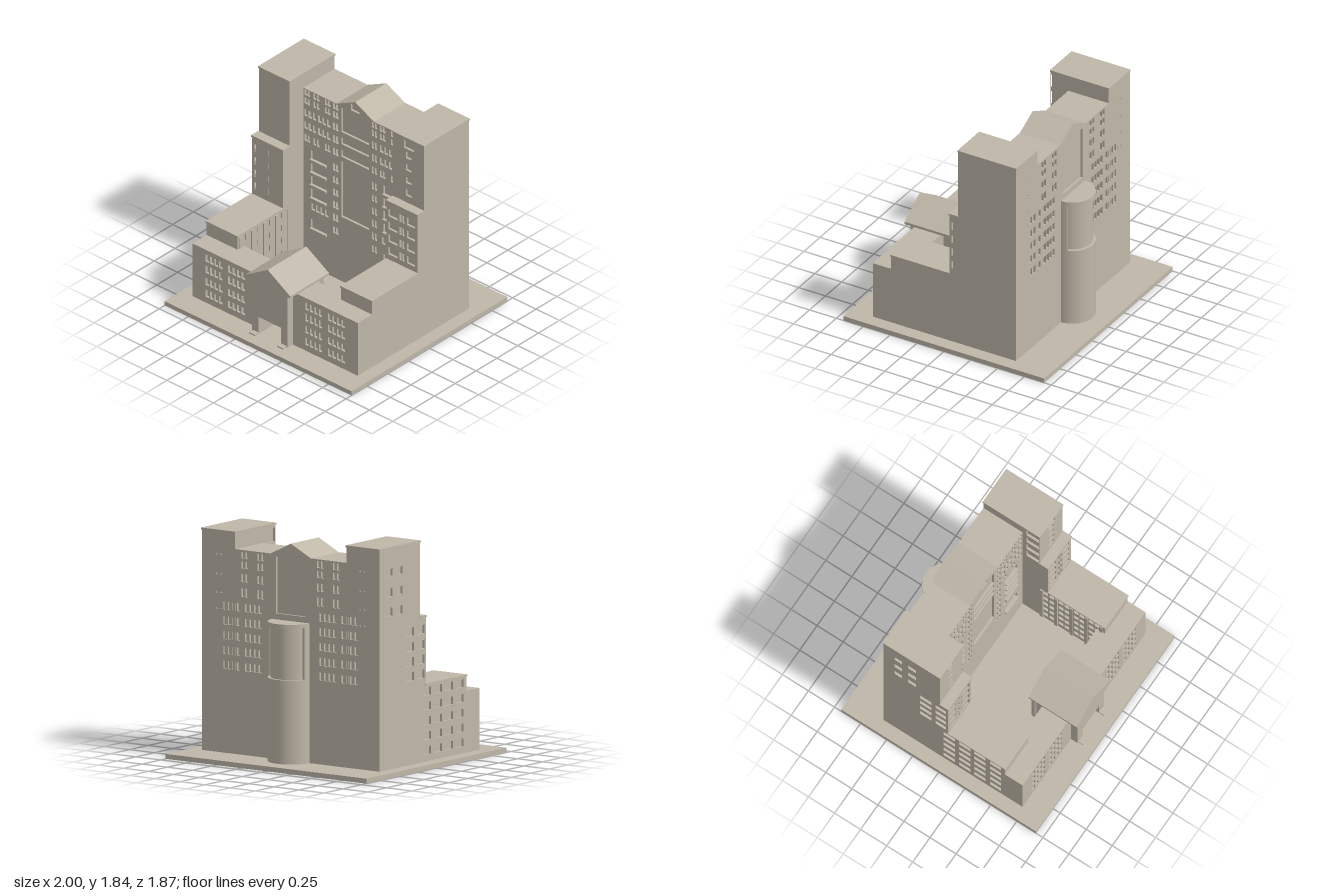
import * as THREE from 'three';

export function createModel() {
  const model = new THREE.Group();
  const stone = new THREE.MeshStandardMaterial({ color: 0xbfb7a8 });
  stone.name = 'stone';
  const D = 0.02; // window recess depth

  const add = (name, geo, x = 0, y = 0, z = 0, ry = 0) => {
    const mesh = new THREE.Mesh(geo, stone);
    mesh.name = name;
    mesh.position.set(x, y, z);
    mesh.rotation.y = ry;
    model.add(mesh);
    return mesh;
  };
  // box from min / max corners
  const block = (name, x0, x1, y0, y1, z0, z1) =>
    add(name, new THREE.BoxGeometry(Math.abs(x1 - x0), y1 - y0, z1 - z0),
      (x0 + x1) / 2, (y0 + y1) / 2, (z0 + z1) / 2);
  const toShape = (pts) => new THREE.Shape(pts.map(([x, y]) => new THREE.Vector2(x, y)));
  const rect = (x0, x1, y0, y1) => [[x0, y0], [x1, y0], [x1, y1], [x0, y1]];
  // outline with rectangular openings, extruded; k scales the horizontal axis for mirroring
  const panel = (pts, holes, depth, k = 1) => {
    const flip = (list) => list.map(([x, y]) => [x * k, y]);
    const shape = toShape(flip(pts));
    for (const h of holes) shape.holes.push(toShape(flip(rect(...h))));
    return new THREE.ExtrudeGeometry(shape, { depth, bevelEnabled: false, curveSegments: 8 });
  };
  // every column span crossed with every row span
  const grid = (cols, rows) => rows.flatMap((r) => cols.map((c) => [...c, ...r]));
  const run = (start, n, step, size) =>
    Array.from({ length: n }, (_, i) => [start + i * step, start + i * step + size]);
  const mirrored = (holes) => [...holes, ...holes.map(([a, b, c, d]) => [-b, -a, c, d])];

  block('base', -1, 1, 0, 0.04, -0.935, 0.935);

  // Central slab with gable
  const gable = [[0.2, 1.7], [0, 1.8], [-0.2, 1.7]];
  const slab = [[-0.56, 0.04], [0.56, 0.04], [0.56, 1.7], ...gable, [-0.56, 1.7]];
  add('centralSlab', panel(slab, [], 0.335), 0, 0, -0.585);
  const pair = [[0.18, 0.204], [0.212, 0.236]];
  const pairs = [...pair, [0.265, 0.291], [0.297, 0.323], [0.382, 0.411], [0.417, 0.446],
    [0.481, 0.507], [0.513, 0.54]];
  const triples = [...pair, ...run(0.265, 3, 0.048, 0.036), ...run(0.418, 3, 0.045, 0.034)];
  const wideRows = [[1.053, 1.14], [0.933, 1.02], [0.815, 0.9], [0.69, 0.78], [0.4, 0.49]];
  const frontHoles = mirrored([
    ...grid(pairs, [[1.64, 1.693], [1.56, 1.617], [1.206, 1.27]]),
    ...grid(triples, [[1.443, 1.508], [1.323, 1.39]]),
    ...grid(pair, [[1.055, 1.12], [0.94, 1], [0.82, 0.88], [0.7, 0.765], [0.58, 0.645], [0.46, 0.52]]),
    ...grid([[0.302, 0.473]], wideRows),
    ...grid(run(0.288, 4, 0.048, 0.036), [[0.58, 0.645]]),
  ]);
  const centreBays = grid([[-0.147, 0.147]], [[1.455, 1.685], [1.34, 1.405], [1.22, 1.285], [0.65, 1.18]]);
  add('slabFrontWall', panel(slab, [...frontHoles, ...centreBays, [-0.045, 0.045, 1.705, 1.765]], D), 0, 0, -0.25);
  for (const s of [1, -1]) for (const [y] of wideRows)
    block('balconyLedge', s * 0.302, s * 0.473, y - 0.006, y + 0.012, -0.235, -0.21);

  // Back wall spanning both towers
  const backOutline = [[-0.885, 0.04], [0.885, 0.04], [0.885, 1.84], [0.555, 1.84], [0.555, 1.7],
    ...gable, [-0.555, 1.7], [-0.555, 1.84], [-0.885, 1.84]];
  const backHoles = mirrored([
    ...grid([[0.26, 0.29], [0.3, 0.33], [0.42, 0.45], [0.46, 0.49]],
      [[1.63, 1.685], [1.55, 1.605], [1.44, 1.505], [1.32, 1.39]]),
    ...grid([...run(0.285, 4, 0.046, 0.034), ...run(0.505, 4, 0.044, 0.032)],
      [[1.2, 1.265], [1.08, 1.145], [0.96, 1.025], [0.84, 0.905], [0.72, 0.785]]),
    ...grid([[0.685, 0.7], [0.73, 0.745]], [[1.64, 1.65], [1.48, 1.49], [1.33, 1.34], [1.2, 1.21]]),
  ]);
  add('backWall', panel(backOutline, [...backHoles, [-0.147, 0.147, 1.22, 1.68]], D), 0, 0, -0.585, Math.PI);

  // Stepped wings, mirrored left and right; side outlines use z as the horizontal axis
  const inner = [[-0.605, 0.04], [0.56, 0.04], [0.56, 0.67], [0.015, 0.67], [0.015, 1.225],
    [-0.065, 1.225], [-0.065, 1.84], [-0.605, 1.84]];
  const outer = [[-0.605, 0.04], [0.73, 0.04], [0.73, 0.54], ...inner.slice(2).map(
    ([z, y], i) => (i === 0 ? [0.56, 0.54] : [z, y]))];
  outer.splice(4, 0, [0.56, 0.67]);
  const midRows = [[1.082, 1.152], [0.96, 1.03], [0.84, 0.91], [0.72, 0.79]];
  const sideHoles = [
    ...grid([[-0.37, -0.295], [-0.5, -0.43]], [[1.605, 1.667], [1.44, 1.507], [1.28, 1.35]]),
    ...grid([[-0.105, 0], [-0.257, -0.147]], midRows),
    ...grid([[0.415, 0.52], [0.265, 0.375], [0.12, 0.23], [-0.03, 0.08]], run(0.095, 5, 0.12, 0.065)),
  ];
  const innerHoles = [
    ...grid([[-0.19, -0.07]], run(1.22, 4, 0.157, 0.112)),
    ...grid([0.455, 0.312, 0.167, 0.022].flatMap((z) => [[z - 0.05, z - 0.006], [z + 0.006, z + 0.05]]),
      run(0.095, 5, 0.12, 0.065)),
  ];
  for (const s of [1, -1]) {
    const x0 = s * (0.555 + D), x1 = s * (0.885 - D);
    block('towerCore', x0, x1, 0.04, 1.84, -0.59, -0.065 - D);
    block('middleStepCore', x0, x1, 0.04, 1.225, -0.3, 0.015 - D);
    block('lowerStepCore', x0, x1, 0.04, 0.67, -0.3, 0.56 - D);
    add('wingOuterWall', panel(outer, sideHoles, D, -s), x1, 0, 0, s * Math.PI / 2);
    add('wingInnerWall', panel(inner, innerHoles, D, s), x0, 0, 0, -s * Math.PI / 2);
    add('towerFrontWall', panel(rect(0.575, 0.885, 1.2, 1.84),
      [[0.67, 0.775, 1.735, 1.805], ...grid([[0.69, 0.753]],
        [[1.645, 1.705], [1.53, 1.587], [1.41, 1.467], [1.29, 1.35]])], D, s), 0, 0, -0.065 - D);
    add('middleFrontWall', panel(rect(0.555, 0.885, 0.65, 1.225),
      grid([[0.572, 0.67], [0.695, 0.717], [0.725, 0.746], [0.772, 0.86]], midRows), D, s), 0, 0, 0.015 - D);
    block('lowerFrontWall', s * 0.555, s * 0.885, 0.5, 0.67, 0.56 - D, 0.56);
    // roof copings
    block('towerCoping', s * 0.55, s * 0.89, 1.826, 1.842, -0.61, -0.06);
    block('middleCoping', s * 0.55, s * 0.89, 1.21, 1.227, -0.07, 0.02);
    block('lowerCoping', s * 0.55, s * 0.89, 0.655, 0.672, 0.01, 0.566);
    // courtyard pilasters
    for (const z of [-0.045, 0.095, 0.24, 0.385, 0.525])
      block('pilaster', s * 0.56, s * 0.545, 0.04, 0.645, z - 0.014, z + 0.014);
  }

  // Low front block with a passage through its middle
  const withPassage = (w, h) => [[-w, 0.04], [-0.12, 0.04], [-0.12, 0.2], [0.12, 0.2],
    [0.12, 0.04], [w, 0.04], [w, h], [-w, h]];
  add('frontBlock', panel(withPassage(0.865, 0.54), [], 0.225), 0, 0, 0.485);
  add('frontBlockWall', panel(withPassage(0.885, 0.54), mirrored(grid(
    [...run(0.323, 4, 0.048, 0.036), ...run(0.565, 4, 0.048, 0.036)],
    [[0.43, 0.497], [0.323, 0.393], [0.208, 0.273], [0.096, 0.163]])), D), 0, 0, 0.71);

  // Entrance portico
  add('porticoBody', panel(withPassage(0.19, 0.55), [], 0.435), 0, 0, 0.36);
  add('porticoRoof', panel([[-0.24, 0.54], [0.24, 0.54], [0.24, 0.562], [0, 0.71], [-0.24, 0.562]], [], 0.465),
    0, 0, 0.355);
  for (const s of [1, -1]) {
    block('entranceStep', s * 0.12, s * 0.18, 0.04, 0.052, 0.79, 0.84);
    add('porticoColumn', new THREE.CylinderGeometry(0.034, 0.034, 0.5, 20), s * 0.165, 0.29, 0.377);
  }

  // Round stair tower at the back
  const drum = (name, r, y0, y1) =>
    add(name, new THREE.CylinderGeometry(r, r, y1 - y0, 64), 0, (y0 + y1) / 2, -0.6);
  drum('stairTowerBase', 0.187, 0.04, 0.72);
  drum('stairTowerGlazing', 0.163, 0.72, 1.14);
  drum('stairTowerCap', 0.187, 1.14, 1.172);
  for (const a of [0, Math.PI - 0.33]) {
    const cheek = new THREE.Shape();
    cheek.absarc(0, 0, 0.187, a, a + 0.33, false);
    cheek.absarc(0, 0, 0.15, a + 0.33, a, true);
    const geo = new THREE.ExtrudeGeometry(cheek, { depth: 0.42, bevelEnabled: false, curveSegments: 8 });
    add('stairTowerCheek', geo.rotateX(-Math.PI / 2), 0, 0.72, -0.6);
  }
  return model;
}
